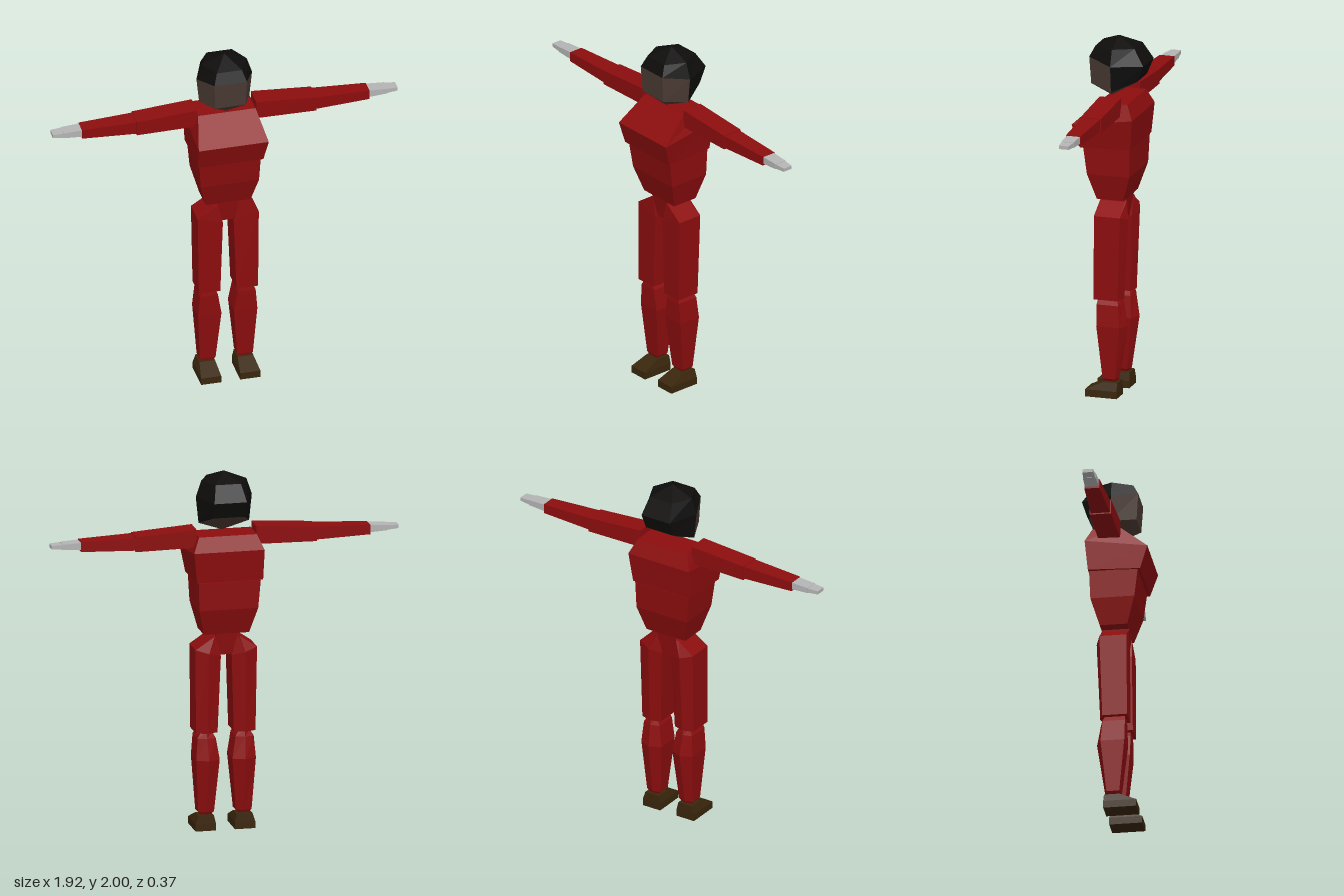
import * as THREE from 'three';

const RED = 0x8c0d0e, HAIR = 0x0e0d0c, SKIN = 0x4a3a33, SHOE = 0x3a260c, HAND = 0xb4b4b4;

// Facets between consecutive rings; rings run counter-clockwise seen from the end of the loft.
function loft(name, color, rings, { caps = true, keep = () => true } = {}) {
  const pos = [];
  const same = (a, b) => a.every((v, i) => Math.abs(v - b[i]) < 1e-6);
  const tri = (a, b, c) => {
    if (!same(a, b) && !same(b, c) && !same(a, c)) pos.push(...a, ...b, ...c);
  };
  const n = rings[0].length;
  for (let i = 0; i < rings.length - 1; i++) {
    for (let j = 0; j < n; j++) {
      if (!keep(i, j)) continue;
      const k = (j + 1) % n;
      tri(rings[i][j], rings[i][k], rings[i + 1][k]);
      tri(rings[i][j], rings[i + 1][k], rings[i + 1][j]);
    }
  }
  if (caps) {
    const first = rings[0], last = rings[rings.length - 1];
    for (let j = 1; j < n - 1; j++) {
      tri(first[0], first[j + 1], first[j]);
      tri(last[0], last[j], last[j + 1]);
    }
  }
  const geo = new THREE.BufferGeometry();
  geo.setAttribute('position', new THREE.Float32BufferAttribute(pos, 3));
  geo.computeVertexNormals();
  const mesh = new THREE.Mesh(geo, new THREE.MeshStandardMaterial({ color, flatShading: true }));
  mesh.name = name;
  return mesh;
}

// Mirroring in x flips the facets, so the ring order is reversed as well.
const mirror = rings => rings.map(r => r.map(([x, y, z]) => [-x, y, z])).reverse();

// Four-sided ring of a body part, with its own height at the front and back
const bodyRing = (x0, x1, zf, yf, zb, yb = yf) =>
  [[x0, yf, zf], [x1, yf, zf], [x1, yb, zb], [x0, yb, zb]];

// Five-sided ring of a leg, with a ridge at the back
const legRing = (xi, yi, xo, yo, zf, zb, zc) =>
  [[xi, yi, zf], [xo, yo, zf], [xo, yo, zb], [(xi + xo) / 2, (yi + yo) / 2, zc], [xi, yi, zb]];

// Four-sided ring of an arm, across x
const armRing = (x, y0, y1, z0, z1) =>
  [[x, y0, z0], [x, y1, z0], [x, y1, z1], [x, y0, z1]];

// Six-sided ring of the head: corners at the sides, flat at the front and back
const headRing = (xs, ys, xe, zf, yf, zb, yb) => [
  [-xe, yf, zf], [xe, yf, zf], [xs, ys, -0.02],
  [xe, yb, zb], [-xe, yb, zb], [-xs, ys, -0.02]];

export function createModel() {
  const model = new THREE.Group();
  model.name = 'figure';

  // Torso
  model.add(loft('chest', RED, [
    bodyRing(-0.19, 0.175, 0.145, 1.4, -0.14, 1.41),
    bodyRing(-0.195, 0.195, 0.185, 1.53, -0.157, 1.58),
    bodyRing(-0.16, 0.16, 0.035, 1.66, -0.12),
  ]));
  model.add(loft('waist', RED, [
    bodyRing(-0.125, 0.125, 0.065, 1.105, -0.085),
    bodyRing(-0.165, 0.16, 0.11, 1.25, -0.13),
    bodyRing(-0.178, 0.165, 0.13, 1.405, -0.135),
  ]));
  model.add(loft('pelvis', RED, [
    bodyRing(-0.035, 0.035, 0.05, 0.985, -0.07),
    bodyRing(-0.06, 0.06, 0.066, 1.11, -0.085),
  ]));

  // Head: the hair covers the crown and the back half, the skin the rest
  const point = p => Array.from({ length: 6 }, () => p);
  const head = [
    point([0, 1.66, 0.02]),
    headRing(0.14, 1.715, 0.085, 0.11, 1.74, -0.15, 1.77),
    headRing(0.155, 1.86, 0.09, 0.12, 1.89, -0.187, 1.86),
    headRing(0.125, 1.95, 0.07, 0.09, 1.95, -0.13, 1.95),
    point([0, 2, -0.02]),
  ];
  const isHair = (i, j) => i > 1 || (i === 1 && j >= 2 && j <= 4);
  model.add(loft('hair', HAIR, head, { caps: false, keep: isHair }));
  model.add(loft('face', SKIN, head, { caps: false, keep: (i, j) => !isHair(i, j) }));

  // Limbs, given for the left side
  const limbs = {
    UpperArm: [RED, [
      armRing(0.165, 1.595, 1.695, -0.085, 0.035),
      armRing(0.5, 1.59, 1.672, -0.083, 0.033)]],
    Forearm: [RED, [
      armRing(0.5, 1.597, 1.668, -0.077, 0.028),
      armRing(0.8, 1.605, 1.658, -0.067, 0.015)]],
    Palm: [HAND, [
      armRing(0.8, 1.615, 1.655, -0.063, 0.011),
      armRing(0.9, 1.62, 1.65, -0.06, 0.009)]],
    Fingers: [HAND, [
      armRing(0.9, 1.622, 1.648, -0.058, 0.007),
      armRing(0.96, 1.626, 1.645, -0.053, 0.003)]],
    Thigh: [RED, [
      legRing(0.045, 0.55, 0.165, 0.55, 0.07, -0.065, -0.085),
      legRing(0.03, 0.98, 0.17, 1.02, 0.067, -0.08, -0.105),
      legRing(0.055, 1.095, 0.075, 1.085, 0.063, -0.075, -0.085)]],
    Calf: [RED, [
      legRing(0.075, 0.09, 0.135, 0.09, 0.02, -0.04, -0.05),
      legRing(0.06, 0.105, 0.148, 0.105, 0.025, -0.045, -0.058),
      legRing(0.035, 0.4, 0.165, 0.4, 0.055, -0.075, -0.103),
      legRing(0.055, 0.52, 0.155, 0.52, 0.057, -0.065, -0.08),
      legRing(0.075, 0.555, 0.135, 0.555, 0.053, -0.055, -0.07)]],
    Shoe: [SHOE, [
      bodyRing(0.053, 0.165, 0.12, 0, -0.06),
      bodyRing(0.053, 0.165, 0.12, 0.04, -0.06),
      bodyRing(0.063, 0.15, 0.025, 0.085, -0.058)]],
  };
  for (const [part, [color, rings]] of Object.entries(limbs)) {
    model.add(loft('left' + part, color, rings));
    model.add(loft('right' + part, color, mirror(rings)));
  }
  return model;
}
